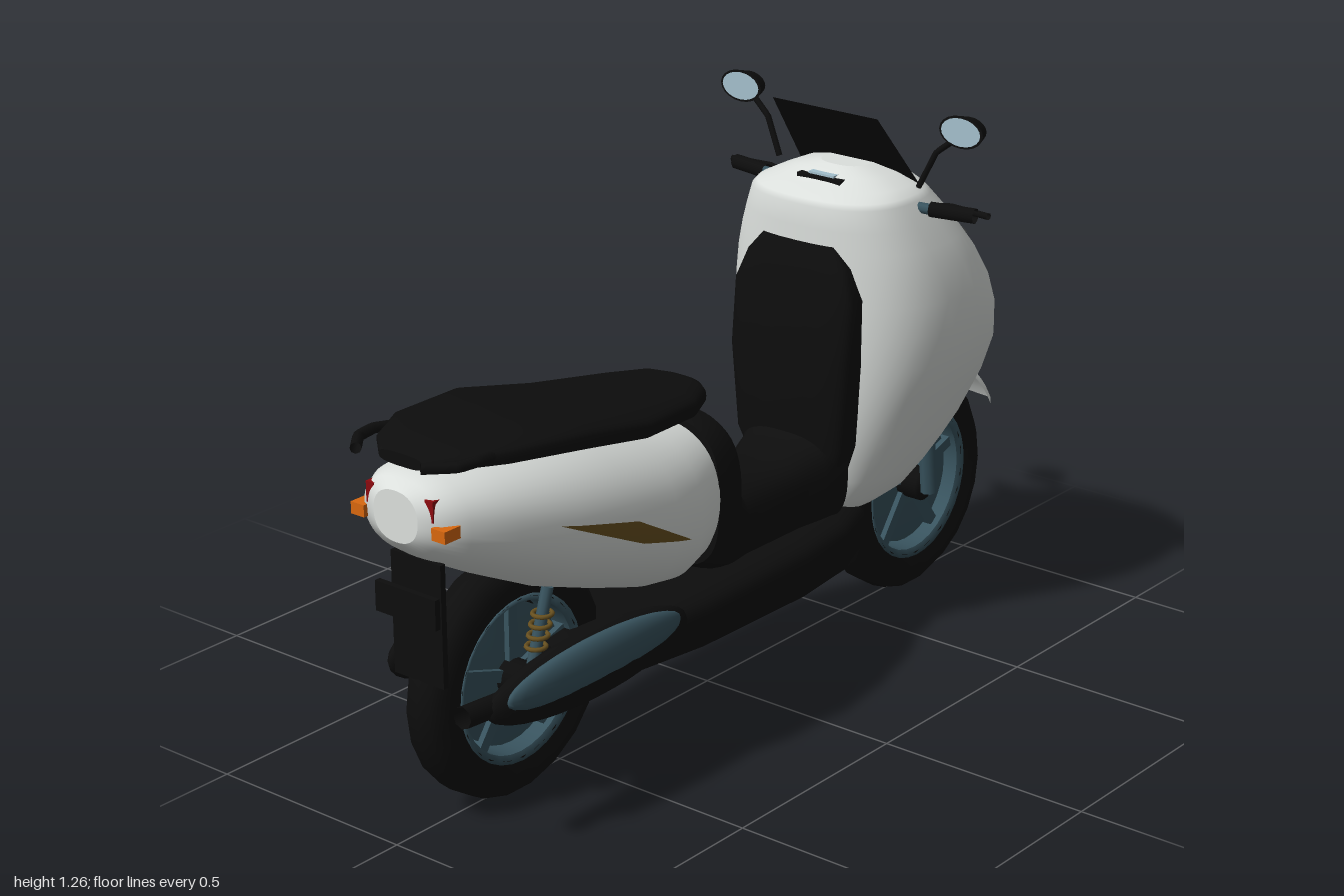
import * as THREE from 'three';

const paint = (name, color) => new THREE.MeshStandardMaterial({ name, color, side: THREE.DoubleSide });

// Rings at keys [t, halfWidth, low, high]; t runs along y (low/high in z) or along z (low/high in y)
function loft(keys, axis, n, seg = 48) {
  const first = keys[0], last = keys[keys.length - 1];
  const tip = k => [k[0], 0, (k[2] + k[3]) / 2, (k[2] + k[3]) / 2];
  const rings = [tip(first), first, ...keys, last, tip(last)];
  const pos = [], idx = [];
  const bend = v => Math.sign(v) * Math.abs(v) ** (2 / n);
  rings.forEach(([t, w, lo, hi], i) => {
    for (let j = 0; j < seg; j++) {
      const a = j / seg * Math.PI * 2;
      const x = w * bend(Math.cos(a)), o = (lo + hi) / 2 + (hi - lo) / 2 * bend(Math.sin(a));
      pos.push(...(axis === 'y' ? [x, t, o] : [x, o, t]));
      if (i === rings.length - 1 || i === 1 || i === rings.length - 3) continue;
      const p = i * seg + j, q = i * seg + (j + 1) % seg, r = p + seg, s = q + seg;
      idx.push(...(axis === 'y' ? [p, r, q, q, r, s] : [p, q, r, q, s, r]));
    }
  });
  const g = new THREE.BufferGeometry();
  g.setAttribute('position', new THREE.Float32BufferAttribute(pos, 3));
  g.setIndex(idx);
  g.computeVertexNormals();
  return g;
}

// Interpolated ring of a loft at t
function ringAt(keys, t) {
  let i = 0;
  while (i < keys.length - 2 && keys[i + 1][0] < t) i++;
  const a = keys[i], b = keys[i + 1], f = (t - a[0]) / (b[0] - a[0]);
  return a.map((v, k) => v + (b[k] - v) * f);
}
const arc = (v, n) => Math.max(0, 1 - Math.abs(v) ** n) ** (1 / n);

// Thin four-cornered decal laid on a surface by place(u, v)
function decal(corners, place) {
  const g = new THREE.PlaneGeometry(1, 1, 10, 8), p = g.attributes.position;
  const [A, B, C, D] = corners;
  for (let i = 0; i < p.count; i++) {
    const s = p.getX(i) + 0.5, t = p.getY(i) + 0.5;
    const mix = k => (A[k] * (1 - s) + B[k] * s) * (1 - t) + (D[k] * (1 - s) + C[k] * s) * t;
    p.setXYZ(i, ...place(mix(0), mix(1)));
  }
  g.computeVertexNormals();
  return g;
}

const SHELL = [[0.32, 0.11, -0.56, -0.35], [0.35, 0.145, -0.63, -0.33], [0.4, 0.172, -0.69, -0.32], [0.45, 0.195, -0.74, -0.315],
  [0.5, 0.217, -0.78, -0.31], [0.6, 0.255, -0.83, -0.31], [0.68, 0.277, -0.85, -0.31], [0.76, 0.285, -0.838, -0.31],
  [0.83, 0.28, -0.81, -0.31], [0.9, 0.265, -0.765, -0.31], [0.95, 0.247, -0.725, -0.31], [1.0, 0.225, -0.685, -0.31],
  [1.05, 0.2, -0.64, -0.31], [1.062, 0.19, -0.63, -0.32], [1.075, 0.165, -0.615, -0.37], [1.095, 0.12, -0.585, -0.41], [1.108, 0.06, -0.55, -0.45]];
const TAIL = [[0.11, 0.14, 0.4, 0.67], [0.17, 0.165, 0.357, 0.685], [0.25, 0.192, 0.345, 0.7], [0.35, 0.21, 0.365, 0.725],
  [0.5, 0.216, 0.415, 0.765], [0.65, 0.205, 0.47, 0.79], [0.8, 0.178, 0.545, 0.802], [0.9, 0.14, 0.6, 0.8],
  [0.95, 0.105, 0.635, 0.79], [0.97, 0.06, 0.66, 0.77]];

export function createModel() {
  const model = new THREE.Group();
  const white = paint('white bodywork', 0xdce0dd), black = paint('black plastic', 0x0d0d0d);
  const teal = paint('blue grey metal', 0x38535e), glass = paint('pale blue glass', 0xa4c0cd);
  const orange = paint('orange indicator', 0xd9680f), red = paint('red lamp', 0x8c0a0e);
  const gold = paint('dark gold', 0x6a5220), grey = paint('grey trim', 0x6c7070);

  const add = (name, geo, mat, x = 0, y = 0, z = 0, parent = model) => {
    const m = new THREE.Mesh(geo, mat);
    m.name = name;
    m.position.set(x, y, z);
    parent.add(m);
    return m;
  };
  const box = (name, mat, w, h, d, x, y, z) => add(name, new THREE.BoxGeometry(w, h, d), mat, x, y, z);
  const ball = (name, mat, rx, ry, rz, x, y, z) =>
    add(name, new THREE.SphereGeometry(1, 24, 16).scale(rx, ry, rz), mat, x, y, z);
  const rod = (name, mat, r, pts) => {
    const path = new THREE.CurvePath();
    const v = pts.map(p => new THREE.Vector3(...p));
    for (let i = 1; i < v.length; i++) path.add(new THREE.LineCurve3(v[i - 1], v[i]));
    return add(name, new THREE.TubeGeometry(path, (v.length - 1) * 6, r, 8), mat);
  };
  const lathe = (pts, seg, start = 0, len = Math.PI * 2) =>
    new THREE.LatheGeometry(pts.map(p => new THREE.Vector2(...p)), seg, start, len).rotateZ(Math.PI / 2);

  // Bodywork
  add('front shell', loft(SHELL, 'y', 2.5), white);
  add('rear body', loft(TAIL, 'z', 2.3), white);
  add('knee panel', loft([[0.42, 0.12, -0.37, -0.29], [0.5, 0.15, -0.37, -0.27], [0.7, 0.165, -0.37, -0.263],
    [0.85, 0.165, -0.37, -0.28], [0.92, 0.138, -0.37, -0.295], [0.965, 0.1, -0.36, -0.308]], 'y', 4), black);
  add('centre tunnel', loft([[-0.33, 0.14, 0.3, 0.6], [-0.27, 0.125, 0.3, 0.525], [-0.2, 0.11, 0.3, 0.492], [-0.02, 0.105, 0.3, 0.48],
    [0.03, 0.12, 0.3, 0.54], [0.06, 0.145, 0.31, 0.67], [0.09, 0.158, 0.32, 0.695], [0.15, 0.155, 0.35, 0.69]], 'z', 3), black);
  add('footboard', loft([[-0.48, 0.06, 0.24, 0.31], [-0.42, 0.125, 0.21, 0.33], [-0.3, 0.165, 0.192, 0.34], [-0.15, 0.172, 0.182, 0.335],
    [0.2, 0.172, 0.188, 0.33], [0.42, 0.155, 0.2, 0.33], [0.58, 0.1, 0.23, 0.31]], 'z', 4), black);
  add('seat', loft([[0.09, 0.06, 0.72, 0.762], [0.12, 0.095, 0.715, 0.772], [0.2, 0.135, 0.712, 0.78], [0.4, 0.18, 0.735, 0.805],
    [0.6, 0.195, 0.775, 0.85], [0.8, 0.165, 0.8, 0.862], [0.9, 0.115, 0.81, 0.852], [0.95, 0.06, 0.815, 0.842]], 'z', 3), black);
  add('front mudguard', lathe([[0.285, -0.076], [0.302, -0.066], [0.307, 0], [0.302, 0.066], [0.285, 0.076]], 12,
    THREE.MathUtils.degToRad(95), THREE.MathUtils.degToRad(57)), white, 0, 0.265, -0.735);

  // Wheels with open gaps between disc and rim
  for (const [name, z] of [['front wheel', -0.735], ['rear wheel', 0.665]]) {
    const wheel = new THREE.Group();
    wheel.name = name;
    wheel.position.set(0, 0.265, z);
    model.add(wheel);
    add('tyre', lathe([[0.18, -0.045], [0.23, -0.059], [0.262, -0.032], [0.266, 0], [0.262, 0.032], [0.23, 0.059],
      [0.18, 0.045], [0.18, -0.045]], 22), black, 0, 0, 0, wheel);
    add('rim', lathe([[0.168, -0.04], [0.186, -0.048], [0.186, 0.048], [0.168, 0.04], [0.168, -0.04]], 32), teal, 0, 0, 0, wheel);
    add('disc', lathe([[0, -0.012], [0.154, -0.012], [0.154, 0.012], [0, 0.012]], 32), teal, 0, 0, 0, wheel);
    add('hub', lathe([[0, -0.065], [0.04, -0.065], [0.04, 0.065], [0, 0.065]], 16), black, 0, 0, 0, wheel);
    for (let i = 0; i < 5; i++) {
      const a = i / 5 * Math.PI * 2;
      add('spoke', new THREE.BoxGeometry(0.05, 0.15, 0.026).translate(0, 0.1, 0).rotateX(a), teal, 0, 0, 0, wheel);
    }
  }

  // Windscreen and instrument slot
  add('windscreen', decal([[-0.168, 0], [0.168, 0], [0.145, 1], [-0.145, 1]],
    (x, t) => [x, 1.05 + 0.195 * t, -0.56 + 0.15 * t]), black);
  box('instrument slot', black, 0.12, 0.014, 0.03, 0, 1.085, -0.405);
  box('instrument display', glass, 0.07, 0.006, 0.02, 0, 1.094, -0.41);

  const onShell = (x, y) => {
    const [, w, lo, hi] = ringAt(SHELL, y);
    return [x, y, (lo + hi) / 2 - (hi - lo) / 2 * arc(x / w, 2.5) - 0.005];
  };

  // Paired parts
  for (const s of [1, -1]) {
    const sx = pts => pts.map(([x, ...r]) => [s * x, ...r]);
    add('headlight', decal(sx([[0.045, 0.8], [0.15, 0.805], [0.19, 0.885], [0.11, 0.855]]), onShell), glass);
    add('brow strip', decal(sx([[0.04, 0.88], [0.2, 0.925], [0.195, 0.94], [0.04, 0.893]]), onShell), grey);
    add('front indicator', decal(sx([[0.13, 0.735], [0.175, 0.755], [0.205, 0.785], [0.17, 0.77]]), onShell), orange);
    add('side flash', decal([[0.705, 0.66], [0.47, 0.55], [0.3, 0.5], [0.49, 0.607]], (z, y) => {
      const [, w, lo, hi] = ringAt(TAIL, z);
      return [s * (w * arc((2 * y - lo - hi) / (hi - lo), 2.3) + 0.004), y, z];
    }), gold);

    rod('handlebar', teal, 0.013, sx([[0.15, 1.035, -0.49], [0.24, 1.035, -0.5]]));
    rod('grip', black, 0.018, sx([[0.23, 1.035, -0.5], [0.335, 1.035, -0.52]]));
    rod('brake lever', black, 0.008, sx([[0.19, 1.03, -0.51], [0.25, 1.035, -0.545], [0.36, 1.035, -0.535]]));
    rod('mirror stem', black, 0.007, sx([[0.195, 1.08, -0.5], [0.235, 1.165, -0.508], [0.285, 1.205, -0.515]]));
    const housing = new THREE.CylinderGeometry(1, 0.75, 0.035, 20).rotateX(Math.PI / 2).scale(0.058, 0.037, 1);
    add('mirror housing', housing, black, s * 0.306, 1.225, -0.515);
    add('mirror glass', new THREE.CircleGeometry(1, 20).scale(0.052, 0.032, 1), glass, s * 0.306, 1.225, -0.496);

    rod('front fork', teal, 0.02, sx([[0.078, 0.25, -0.735], [0.078, 0.5, -0.71]]));
    rod('rear shock', teal, 0.013, sx([[0.1, 0.29, 0.7], [0.1, 0.48, 0.64]]));
    for (let i = 0; i < 4; i++) {
      const coil = new THREE.TorusGeometry(0.021, 0.005, 6, 14).rotateX(Math.PI / 2);
      add('shock coil', coil, gold, s * 0.1, 0.36 + i * 0.022, 0.678 - i * 0.007);
    }
    rod('grab rail', black, 0.012, sx([[0.13, 0.83, 0.8], [0.143, 0.84, 0.88], [0.135, 0.84, 0.93], [0.088, 0.842, 0.985]]));
    box('tail lamp', red, 0.022, 0.045, 0.03, s * 0.08, 0.742, 0.943);
    box('rear indicator', orange, 0.036, 0.026, 0.045, s * 0.11, 0.7, 0.943);
  }

  // Rear flap, plate holder and running gear
  box('rear flap', black, 0.136, 0.27, 0.014, 0, 0.475, 0.912);
  box('plate holder', black, 0.165, 0.066, 0.014, 0, 0.517, 0.945);
  box('plate bracket', black, 0.05, 0.03, 0.04, 0, 0.517, 0.925);
  ball('drive cover', black, 0.047, 0.09, 0.27, -0.135, 0.32, 0.6);
  ball('silencer', black, 0.052, 0.075, 0.31, 0.185, 0.32, 0.61);
  ball('silencer shield', teal, 0.028, 0.055, 0.27, 0.213, 0.342, 0.62);
  rod('exhaust tip', black, 0.024, [[0.17, 0.32, 0.84], [0.17, 0.33, 0.975]]);
  rod('exhaust pipe', black, 0.022, [[0.18, 0.29, 0.45], [0.12, 0.25, 0.28]]);
  rod('rear axle', black, 0.022, [[-0.13, 0.265, 0.665], [0.17, 0.265, 0.665]]);

  return model;
}
